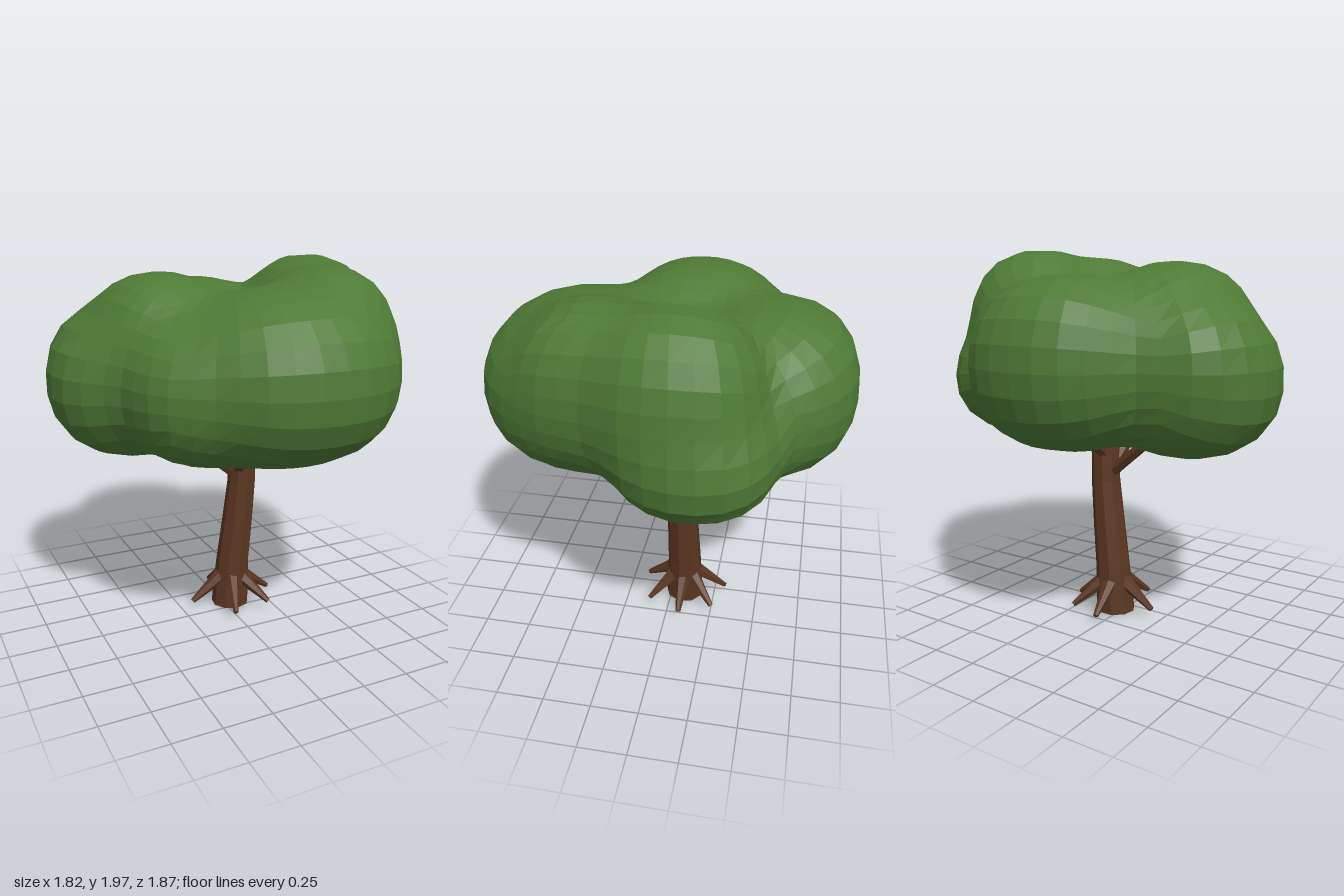
import * as THREE from 'three';

const leafGreen = new THREE.MeshStandardMaterial({ name: 'leafGreen', color: 0x4f7a36, flatShading: true });
const barkBrown = new THREE.MeshStandardMaterial({ name: 'barkBrown', color: 0x5a3622, flatShading: true });

// Leaf masses that melt together: centre, radii
const blobs = [
  [[0.12, 1.43, 0.40], [0.55, 0.44, 0.54]],   // front
  [[0.41, 1.56, 0.29], [0.33, 0.39, 0.37]],   // front shoulder
  [[0.52, 1.56, -0.10], [0.36, 0.43, 0.41]],  // left top
  [[0.52, 1.29, -0.20], [0.40, 0.30, 0.40]],  // left skirt
  [[-0.48, 1.34, -0.18], [0.44, 0.38, 0.42]], // right skirt
  [[-0.34, 1.55, -0.10], [0.37, 0.37, 0.42]], // right top
  [[-0.25, 1.36, 0.27], [0.42, 0.36, 0.42]],  // right front
  [[-0.55, 1.48, -0.29], [0.28, 0.24, 0.28]], // right rear shoulder
  [[0.04, 1.40, -0.48], [0.48, 0.41, 0.46]],  // rear
  [[0.02, 1.56, -0.54], [0.38, 0.28, 0.34]],  // rear top
  [[0.00, 1.40, 0.00], [0.60, 0.36, 0.60]],   // middle
];
const blendSharpness = 24;
const roundness = 2.25;

function field(p) {
  let sum = 0;
  for (const [c, r] of blobs) {
    const q = p.toArray().reduce((t, v, i) => t + Math.abs((v - c[i]) / r[i]) ** roundness, 0) ** (1 / roundness);
    sum += Math.exp(-blendSharpness * (q - 1) * Math.min(...r));
  }
  return sum - 1.25;
}

// Canopy: a subdivided cube pushed out to the surface of the merged masses
function makeCanopy() {
  const geo = new THREE.BoxGeometry(2, 2, 2, 12, 12, 12);
  const pos = geo.attributes.position;
  const centre = new THREE.Vector3(0.02, 1.42, -0.02);
  const dir = new THREE.Vector3();
  const p = new THREE.Vector3();
  for (let i = 0; i < pos.count; i++) {
    dir.fromBufferAttribute(pos, i);
    dir.set(...dir.toArray().map((v) => Math.tan(v * Math.PI / 4))).normalize();
    let outer = 1.2;
    while (outer > 0.1 && field(p.copy(centre).addScaledVector(dir, outer)) < 0) outer -= 0.02;
    let inner = outer;
    outer += 0.02;
    for (let k = 0; k < 8; k++) {
      const mid = (inner + outer) / 2;
      if (field(p.copy(centre).addScaledVector(dir, mid)) < 0) outer = mid;
      else inner = mid;
    }
    p.copy(centre).addScaledVector(dir, inner);
    pos.setXYZ(i, p.x, p.y, p.z);
  }
  geo.computeVertexNormals();
  const mesh = new THREE.Mesh(geo, leafGreen);
  mesh.name = 'canopy';
  return mesh;
}

// Trunk: a cylinder whose rings follow a gentle lean; rows are y, x, z, radius
function makeTrunk() {
  const rings = [
    [1.2, 0.12, -0.06, 0.065],
    [1.0, 0.119, -0.062, 0.075],
    [0.74, 0.113, -0.066, 0.08],
    [0.5, 0.089, -0.07, 0.088],
    [0.26, 0.062, -0.075, 0.095],
    [0.005, 0.045, -0.075, 0.107],
  ].reverse();
  const geo = new THREE.CylinderGeometry(1, 1, 1, 9, rings.length - 1);
  const pos = geo.attributes.position;
  for (let i = 0; i < pos.count; i++) {
    const [y, x, z, r] = rings[Math.round((pos.getY(i) + 0.5) * (rings.length - 1))];
    pos.setXYZ(i, x + pos.getX(i) * r, y, z + pos.getZ(i) * r);
  }
  geo.computeVertexNormals();
  const mesh = new THREE.Mesh(geo, barkBrown);
  mesh.name = 'trunk';
  return mesh;
}

// Tapered limb between two points
function makeLimb(name, from, to, r0, r1) {
  const a = new THREE.Vector3(...from);
  const d = new THREE.Vector3(...to).sub(a);
  const mesh = new THREE.Mesh(new THREE.CylinderGeometry(r1, r0, d.length(), 6), barkBrown);
  mesh.position.copy(a).addScaledVector(d, 0.5);
  mesh.quaternion.setFromUnitVectors(new THREE.Vector3(0, 1, 0), d.normalize());
  mesh.name = name;
  return mesh;
}

export function createModel() {
  const tree = new THREE.Group();
  tree.name = 'tree';
  tree.add(makeCanopy(), makeTrunk());

  // Roots flaring out around the base
  for (const deg of [0, 50, 108, 180, -98, -48]) {
    const c = Math.cos(deg * Math.PI / 180), s = Math.sin(deg * Math.PI / 180);
    const at = (r, y) => [0.048 + c * r, y, -0.075 + s * r];
    tree.add(makeLimb('root', at(0.06, 0.18), at(0.24, 0.05), 0.042, 0.014));
  }

  // Branches reaching up into the leaves
  tree.add(
    makeLimb('branch', [0.09, 0.78, -0.07], [-0.3, 1.09, -0.09], 0.036, 0.024),
    makeLimb('branch', [0.14, 0.87, -0.06], [0.38, 1.08, -0.06], 0.036, 0.024),
    makeLimb('branch', [0.08, 0.83, -0.04], [0.05, 1.1, 0.26], 0.036, 0.024),
    makeLimb('branch', [0.1, 0.87, -0.08], [0.12, 1.1, -0.3], 0.036, 0.024),
  );
  return tree;
}
